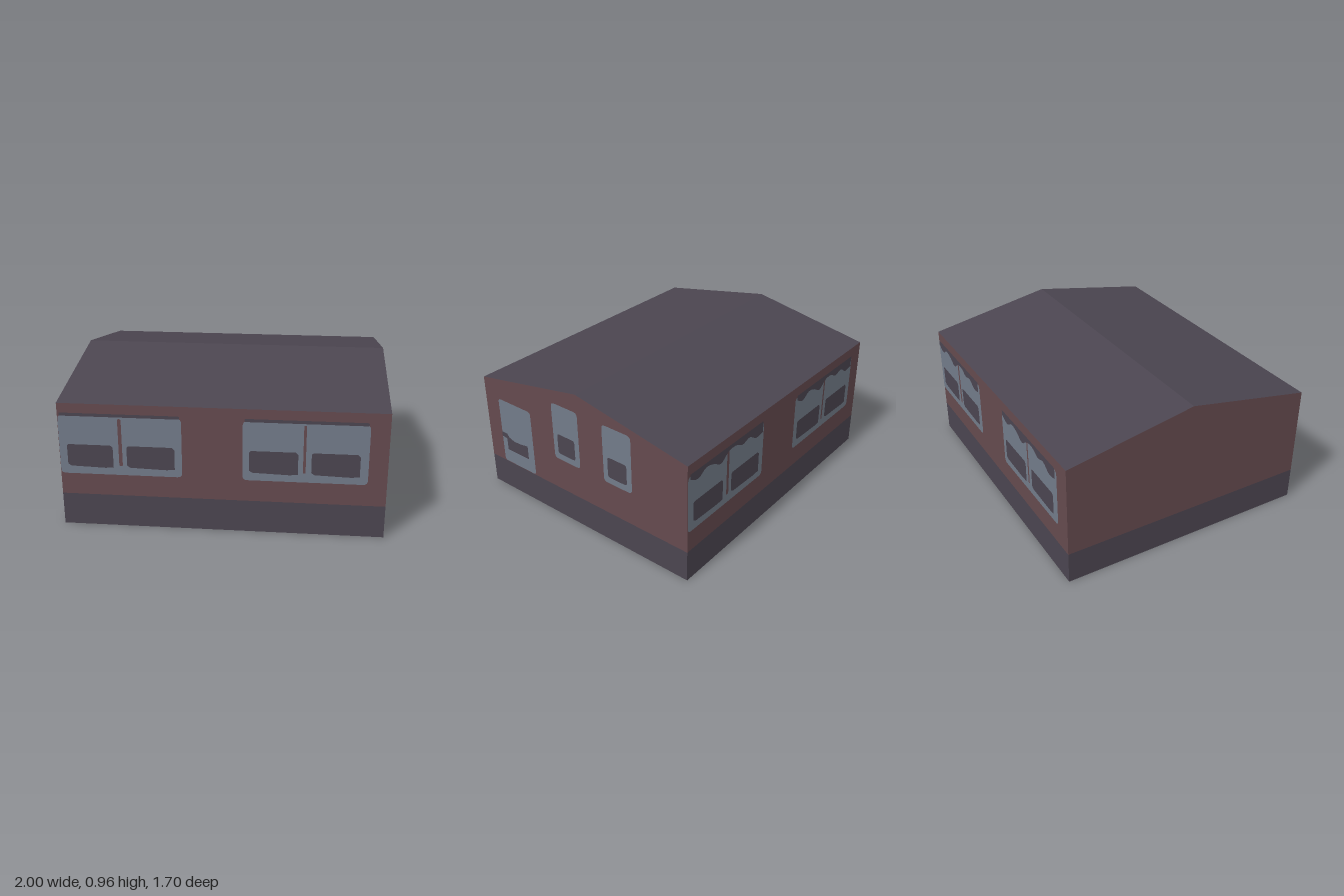
import * as THREE from 'three';

const W = 1, D = 0.845, BASE = 0.21, EAVE = 0.81, RIDGE = 0.965;

export function createModel() {
  const house = new THREE.Group();
  house.name = 'house';
  const mat = (name, color) => {
    const m = new THREE.MeshStandardMaterial({ color });
    m.name = name;
    return m;
  };
  const brick = mat('brickRed', 0x654a4e);
  const slate = mat('slateGrey', 0x4b4550);
  const frame = mat('frameBlueGrey', 0x727b89);
  const black = mat('undersideBlack', 0x060606);

  const add = (parent, name, geometry, material) => {
    const mesh = new THREE.Mesh(geometry, material);
    mesh.name = name;
    parent.add(mesh);
    return mesh;
  };

  // Flat outline, corners counter-clockwise
  const outline = (pts) => new THREE.ShapeGeometry(
    new THREE.Shape(pts.map(([x, y]) => new THREE.Vector2(x, y))));

  // Rectangle with softened corners
  const rounded = (x0, y0, x1, y1, r) => {
    const s = new THREE.Shape();
    s.moveTo(x0 + r, y0);
    s.lineTo(x1 - r, y0);
    s.quadraticCurveTo(x1, y0, x1, y0 + r);
    s.lineTo(x1, y1 - r);
    s.quadraticCurveTo(x1, y1, x1 - r, y1);
    s.lineTo(x0 + r, y1);
    s.quadraticCurveTo(x0, y1, x0, y1 - r);
    s.lineTo(x0, y0 + r);
    s.quadraticCurveTo(x0, y0, x0 + r, y0);
    return new THREE.ShapeGeometry(s, 5);
  };

  // One facade: group facing +z, turned and pushed out to its side
  const facade = (name, angle, half, dist, gabled) => {
    const g = new THREE.Group();
    g.name = name;
    g.rotation.y = angle;
    g.position.set(Math.sin(angle) * dist, 0, Math.cos(angle) * dist);
    const top = gabled ? [[half, EAVE], [0, RIDGE], [-half, EAVE]] : [[half, EAVE], [-half, EAVE]];
    add(g, 'wall', outline([[-half, BASE], [half, BASE], ...top]), brick);
    add(g, 'plinth', outline([[-half, 0], [half, 0], [half, BASE], [-half, BASE]]), slate);
    house.add(g);
    return g;
  };
  const plate = (g, name, geometry, material, layer) => {
    add(g, name, geometry, material).position.z = layer * 0.002;
  };

  const front = facade('frontSide', 0, W, D, false);
  const back = facade('backSide', Math.PI, W, D, false);
  const gable = facade('leftGable', Math.PI / 2, D, W, true);
  facade('rightGable', -Math.PI / 2, D, W, true);

  // Double windows: outer edges, gap centre, gap half width
  const doubles = [
    { x0: -0.998, x1: -0.24, gap: -0.618, w: 0.011, panes: [[-0.95, -0.665], [-0.58, -0.285]] },
    { x0: 0.13, x1: 0.885, gap: 0.503, w: 0.008, panes: [[0.17, 0.465], [0.545, 0.835]] },
  ];
  for (const side of [front, back]) {
    for (const { x0, x1, gap, w, panes } of doubles) {
      plate(side, 'windowFrame', rounded(x0, 0.35, x1, 0.735, 0.03), frame, 1);
      plate(side, 'windowGap', rounded(gap - w, 0.41, gap + w, 0.72, w), brick, 2);
      for (const [a, b] of panes) {
        plate(side, 'windowPane',
          outline([[a, 0.415], [a + 0.02, 0.402], [b - 0.05, 0.395], [b, 0.4],
            [b, 0.53], [b - 0.015, 0.545], [a + 0.01, 0.545], [a, 0.535]]), slate, 2);
      }
      if (side === front) {
        plate(side, 'windowLintel', rounded(x0 + 0.01, 0.73, x1 - 0.01, 0.75, 0.01), slate, 2);
      } else {
        // Ragged shade under the back lintels
        const drops = [0.02, 0.05, 0.015, 0.03, 0.065, 0.02, 0.015, 0.045, 0.03, 0.07, 0.06];
        const edge = new THREE.SplineCurve(drops.map((d, i) => new THREE.Vector2(
          x0 + 0.015 + (x1 - x0 - 0.03) * i / (drops.length - 1), 0.735 - d)));
        const low = edge.getPoints(40).map((p) => [p.x, p.y]);
        plate(side, 'windowShade',
          outline([...low, [x1 - 0.015, 0.75], [x0 + 0.015, 0.75]]), slate, 3);
      }
    }
  }

  // Gable door with its dark panel and latch
  plate(gable, 'door', rounded(-0.72, 0.215, -0.42, 0.69, 0.025), frame, 1);
  plate(gable, 'doorPanel', outline([[-0.675, 0.315], [-0.475, 0.315], [-0.475, 0.415],
    [-0.53, 0.405], [-0.6, 0.4], [-0.65, 0.415], [-0.67, 0.44], [-0.72, 0.44],
    [-0.72, 0.405], [-0.675, 0.4]]), slate, 2);

  // Gable windows
  for (const [a, b] of [[-0.215, 0.007], [0.207, 0.432]]) {
    plate(gable, 'gableWindowFrame', rounded(a, 0.44, b, 0.84, 0.03), frame, 1);
    plate(gable, 'gableWindowPane', rounded(a + 0.037, 0.485, b - 0.037, 0.628, 0.02), slate, 2);
  }

  // Roof slopes
  const slope = Math.hypot(D, RIDGE - EAVE);
  const pitch = Math.atan2(RIDGE - EAVE, D);
  for (const s of [1, -1]) {
    const geometry = new THREE.PlaneGeometry(2 * W, slope)
      .rotateX(-Math.PI / 2)
      .rotateX(s * pitch)
      .translate(0, (EAVE + RIDGE) / 2, s * D / 2);
    add(house, s > 0 ? 'frontRoof' : 'backRoof', geometry, slate);
  }

  // Underside
  add(house, 'floor', new THREE.PlaneGeometry(2 * W, 2 * D).rotateX(Math.PI / 2), black);
  return house;
}
